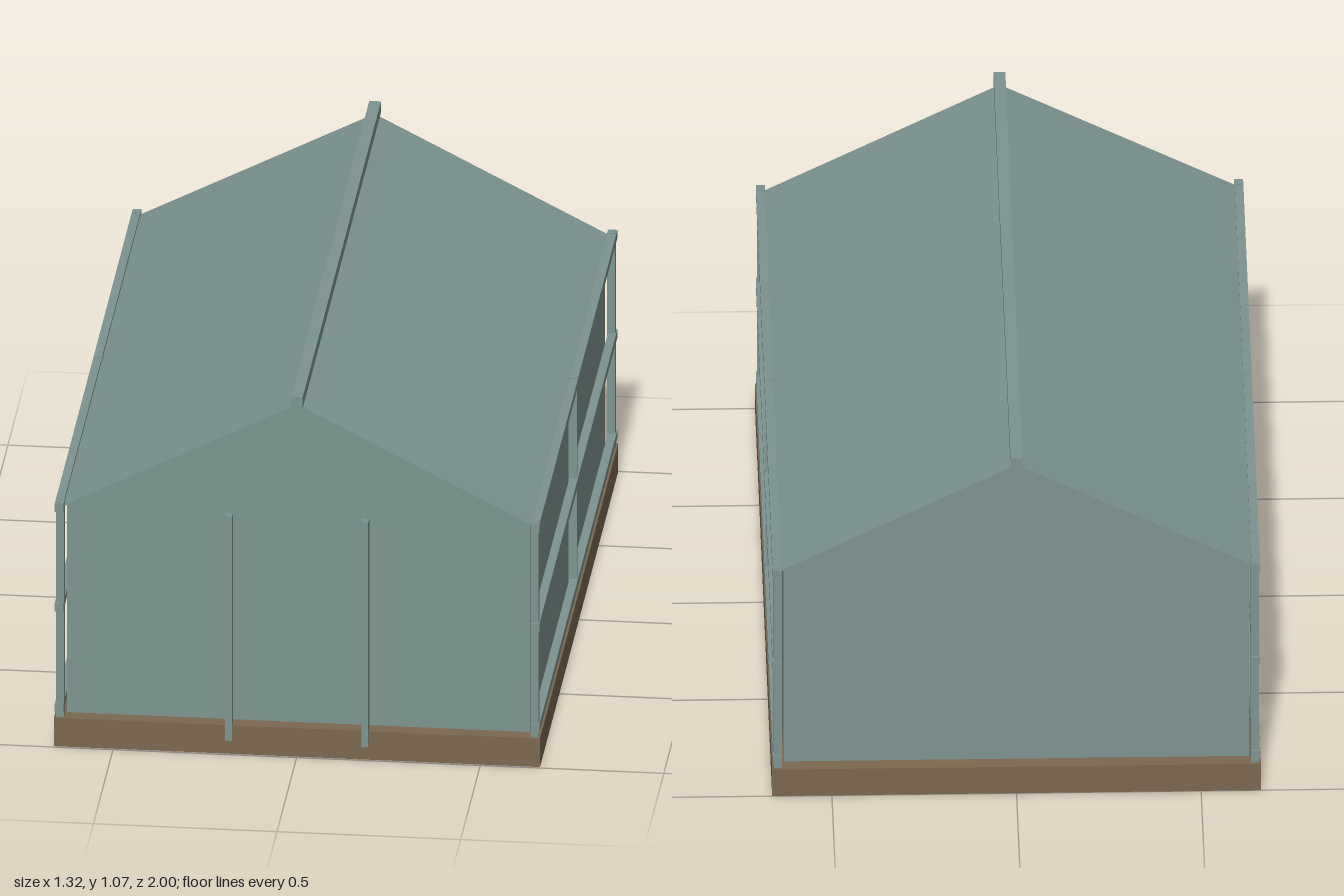
import * as THREE from 'three';

export function createModel() {
  const model = new THREE.Group();
  model.name = 'tentCabin';

  const canvas = new THREE.MeshStandardMaterial({ color: 0x7d9490 });
  canvas.name = 'greyGreenCanvas';
  const wood = new THREE.MeshStandardMaterial({ color: 0x7b6750 });
  wood.name = 'brownWood';

  const zc = -0.003; // the door posts push the body slightly back

  // Box given by its minimum and maximum on each axis
  function box(name, material, [x0, x1], [y0, y1], [z0, z1]) {
    const mesh = new THREE.Mesh(new THREE.BoxGeometry(x1 - x0, y1 - y0, z1 - z0), material);
    mesh.position.set((x0 + x1) / 2, (y0 + y1) / 2, (z0 + z1) / 2);
    mesh.name = name;
    model.add(mesh);
  }

  // Platform and walls
  box('platform', wood, [-0.662, 0.662], [0, 0.084], [zc - 0.997, zc + 0.997]);
  box('walls', canvas, [-0.63, 0.63], [0.084, 0.706], [zc - 0.955, zc + 0.955]);

  // Gabled roof prism
  const gable = new THREE.Shape([
    new THREE.Vector2(-0.64, 0.706),
    new THREE.Vector2(0.64, 0.706),
    new THREE.Vector2(0, 1.035),
  ]);
  const roof = new THREE.Mesh(
    new THREE.ExtrudeGeometry(gable, { depth: 1.96, bevelEnabled: false }), canvas);
  roof.position.z = zc - 0.98;
  roof.name = 'roof';
  model.add(roof);

  // Ridge beam
  box('ridgeBeam', canvas, [-0.016, 0.016], [1.032, 1.065], [zc - 0.997, zc + 0.997]);

  // Side frames: posts and rails
  for (const side of [-1, 1]) {
    const label = side > 0 ? 'left' : 'right';
    const across = (a, b) => (side > 0 ? [a, b] : [-b, -a]);
    for (const z of [-0.977, 0, 0.977]) {
      box(label + 'Post', canvas, across(0.635, 0.657), [0.084, 0.719], [zc + z - 0.012, zc + z + 0.012]);
    }
    for (const y of [0.112, 0.41, 0.704]) {
      box(label + 'Rail', canvas, across(0.637, 0.66), [y - 0.012, y + 0.012], [zc - 0.995, zc + 0.995]);
    }
    // Door post on the front
    box(label + 'DoorPost', canvas, across(0.176, 0.195), [0.04, 0.704], [0.974, 1]);
  }

  return model;
}
